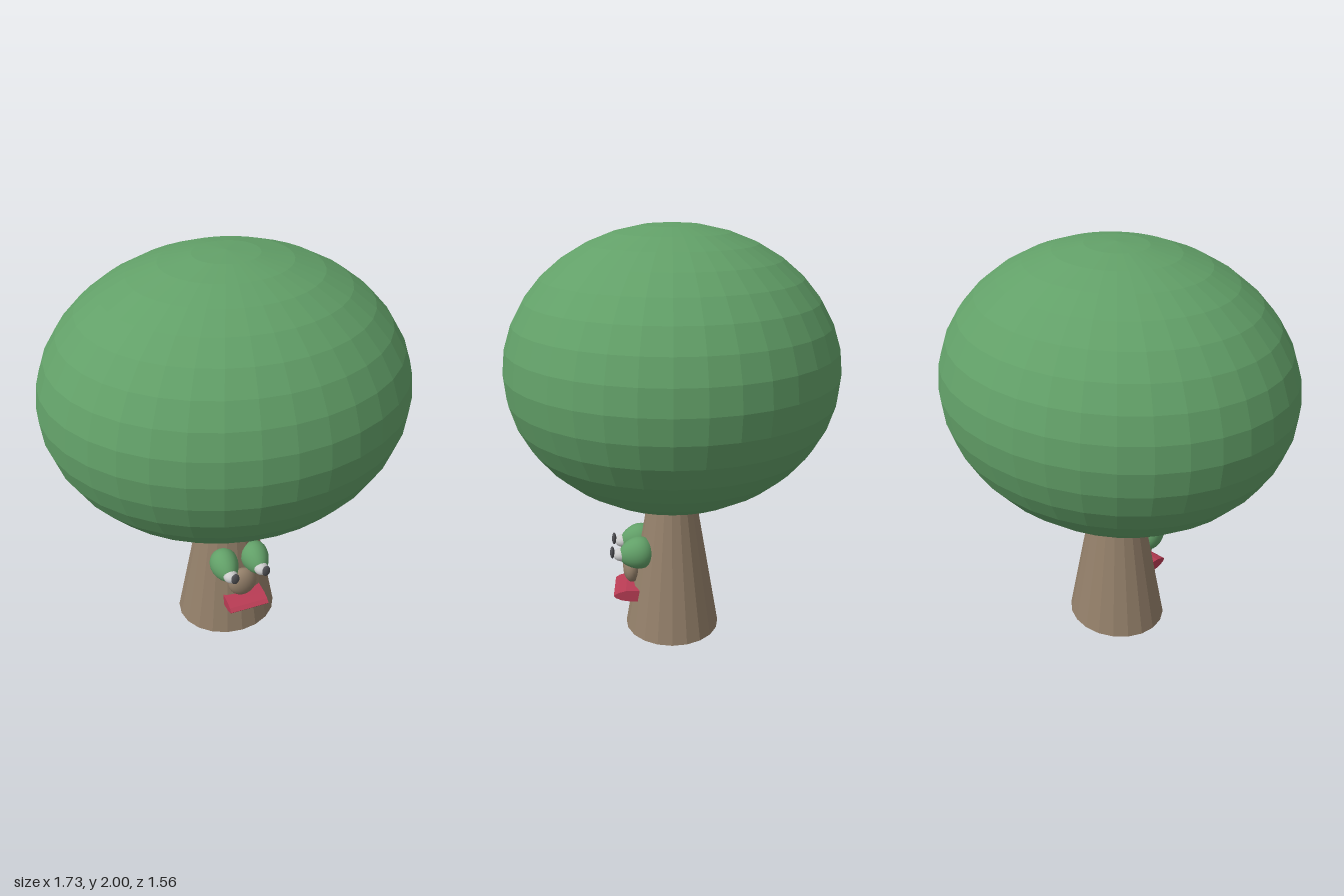
import * as THREE from 'three';

const mat = (color, flatShading = false) => new THREE.MeshStandardMaterial({ color, flatShading });

export function createModel() {
  const model = new THREE.Group();
  model.name = 'treeWithFace';
  const green = mat(0x62a068), leaf = mat(0x62a068, true);
  const bark = mat(0x94806a, true), skin = mat(0x94806a);
  const white = mat(0xdddddd), dark = mat(0x505054), red = mat(0xb83c54, true);

  const add = (name, geometry, material, pos, scale = [1, 1, 1], parent = model) => {
    const mesh = new THREE.Mesh(geometry, material);
    mesh.name = name;
    mesh.position.set(...pos);
    mesh.scale.set(...scale);
    parent.add(mesh);
    return mesh;
  };

  // Faceted oval crown
  add('crown', new THREE.SphereGeometry(1, 36, 18), leaf, [0, 1.338, 0], [0.865, 0.662, 0.782]);

  // Tapered oval trunk, its top tucked into the crown
  add('trunk', new THREE.CylinderGeometry(0.118, 0.257, 0.74, 20), bark, [0, 0.37, 0], [1, 1, 0.91]);

  // Egg-shaped eyelid profile, narrow end forward
  const profile = [];
  for (let i = 0; i <= 16; i++) {
    const a = (i / 16) * Math.PI;
    profile.push(new THREE.Vector2(0.08 * Math.sin(a) * (1 + 0.2 * Math.cos(a)), -0.09 * Math.cos(a)));
  }
  const egg = new THREE.LatheGeometry(profile, 24).rotateX(Math.PI / 2);
  const ball = new THREE.SphereGeometry(1, 24, 16);

  // Eyes
  for (const [side, x] of [['left', 0.09], ['right', -0.075]]) {
    const eye = new THREE.Group();
    eye.name = side + 'Eye';
    eye.position.set(x, 0.42, 0);
    model.add(eye);
    add('eyelid', egg, green, [0, 0, 0.175], [0.87, 1, 1], eye).rotation.x = 0.2;
    add('eyeball', ball, white, [0, -0.008, 0.248], [0.036, 0.033, 0.042], eye);
    add('pupil', ball, dark, [0.008, 0.007, 0.294], [0.021, 0.031, 0.011], eye);
  }

  // Nose
  add('nose', ball, skin, [0.01, 0.31, 0.2], [0.075, 0.08, 0.047]);

  // Mouth: pointed lip profile extruded sideways
  const lip = new THREE.Shape([
    [0.14, 0.17], [0.2, 0.168], [0.25, 0.175], [0.28, 0.188], [0.29, 0.2],
    [0.27, 0.214], [0.23, 0.226], [0.14, 0.228],
  ].map(([z, y]) => new THREE.Vector2(-z, y)));
  const mouth = new THREE.ExtrudeGeometry(lip, { depth: 0.205, bevelEnabled: false });
  mouth.rotateY(Math.PI / 2);
  add('mouth', mouth, red, [-0.085, 0, 0]);

  return model;
}
